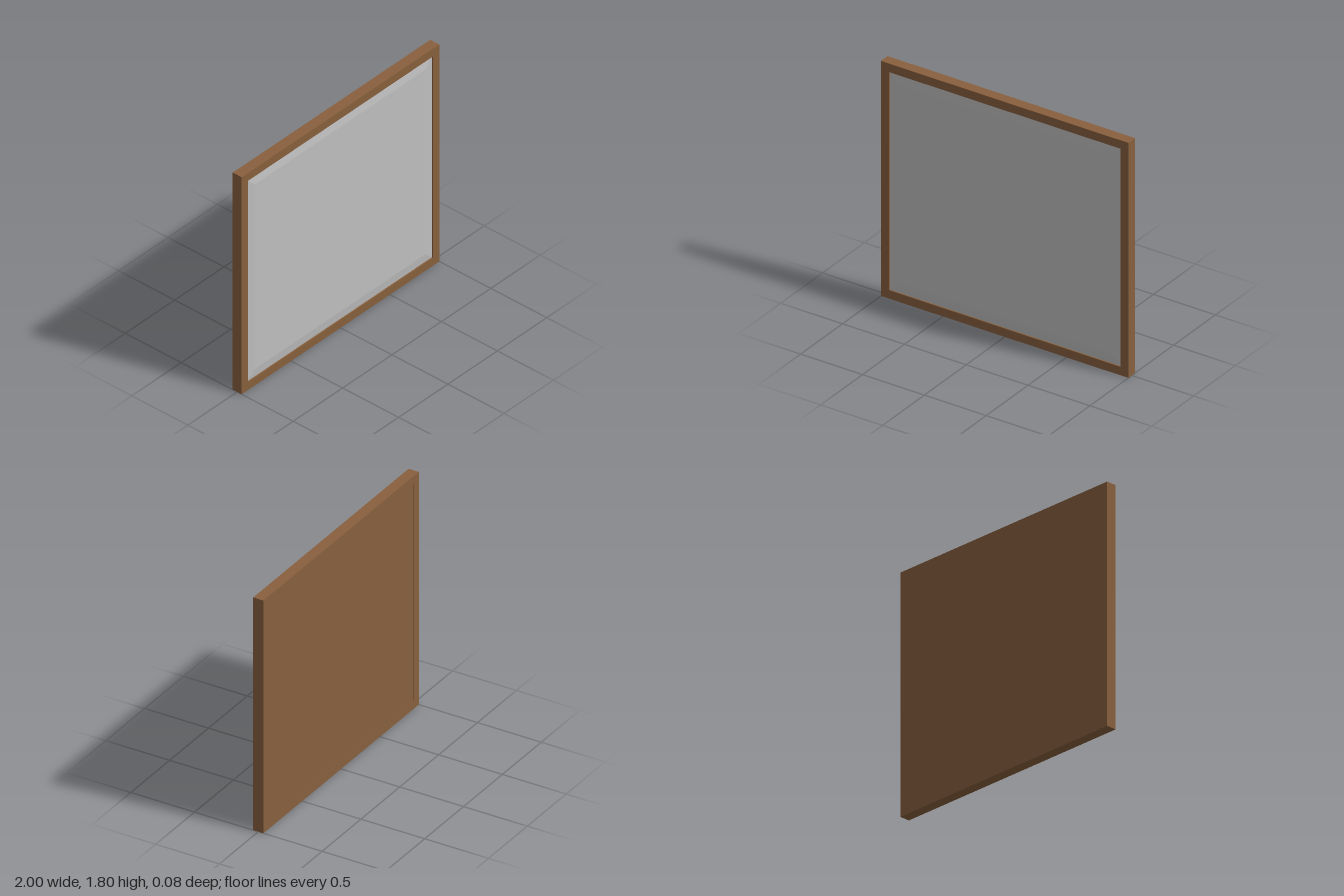
import * as THREE from 'three';

const W = 2, H = 1.805, D = 0.08;   // outer size
const RAIL = 0.065;                 // frame face width
const BEVEL = 0.07;                 // bevel width of the pane

const wood = new THREE.MeshStandardMaterial({ color: 0x88603d });
wood.name = 'brownWood';
const silver = new THREE.MeshStandardMaterial({ color: 0xc0c0c0 });
silver.name = 'silverGlass';

// One mitred bar lying along x, outer edge at y = 0
function mitredBar(name, length) {
  const shape = new THREE.Shape([
    new THREE.Vector2(-length / 2, 0),
    new THREE.Vector2(length / 2, 0),
    new THREE.Vector2(length / 2 - RAIL, RAIL),
    new THREE.Vector2(-length / 2 + RAIL, RAIL),
  ]);
  const geometry = new THREE.ExtrudeGeometry(shape, { depth: D, bevelEnabled: false });
  geometry.translate(0, 0, -D / 2);
  const mesh = new THREE.Mesh(geometry, wood);
  mesh.name = name;
  return mesh;
}

export function createModel() {
  const model = new THREE.Group();
  model.name = 'framedMirror';

  // Frame: four mitred bars turned around the opening
  const bars = [
    ['bottomRail', W, 0, 0, 0],
    ['leftStile', H, W / 2, H / 2, 1],
    ['topRail', W, 0, H, 2],
    ['rightStile', H, -W / 2, H / 2, 3],
  ];
  for (const [name, length, x, y, turns] of bars) {
    const bar = mitredBar(name, length);
    bar.position.set(x, y, 0);
    bar.rotation.z = turns * Math.PI / 2;
    model.add(bar);
  }

  const innerW = W - 2 * RAIL, innerH = H - 2 * RAIL;
  const backZ = -D / 2 + 0.001, edgeZ = 0.03, faceZ = 0.038;

  // Backing board, almost flush with the back of the frame
  const board = new THREE.Mesh(new THREE.BoxGeometry(innerW, innerH, edgeZ - backZ), wood);
  board.name = 'backBoard';
  board.position.set(0, H / 2, (edgeZ + backZ) / 2);
  model.add(board);

  // Mirror pane: a thin box whose front corners move inward to make the bevel
  const pane = new THREE.BoxGeometry(innerW, innerH, faceZ - edgeZ);
  const p = pane.attributes.position;
  for (let i = 0; i < p.count; i++) {
    if (p.getZ(i) > 0) {
      p.setX(i, p.getX(i) - Math.sign(p.getX(i)) * BEVEL);
      p.setY(i, p.getY(i) - Math.sign(p.getY(i)) * BEVEL);
    }
  }
  pane.computeVertexNormals();
  const mirror = new THREE.Mesh(pane, silver);
  mirror.name = 'bevelledMirror';
  mirror.position.set(0, H / 2, (edgeZ + faceZ) / 2);
  model.add(mirror);

  return model;
}
